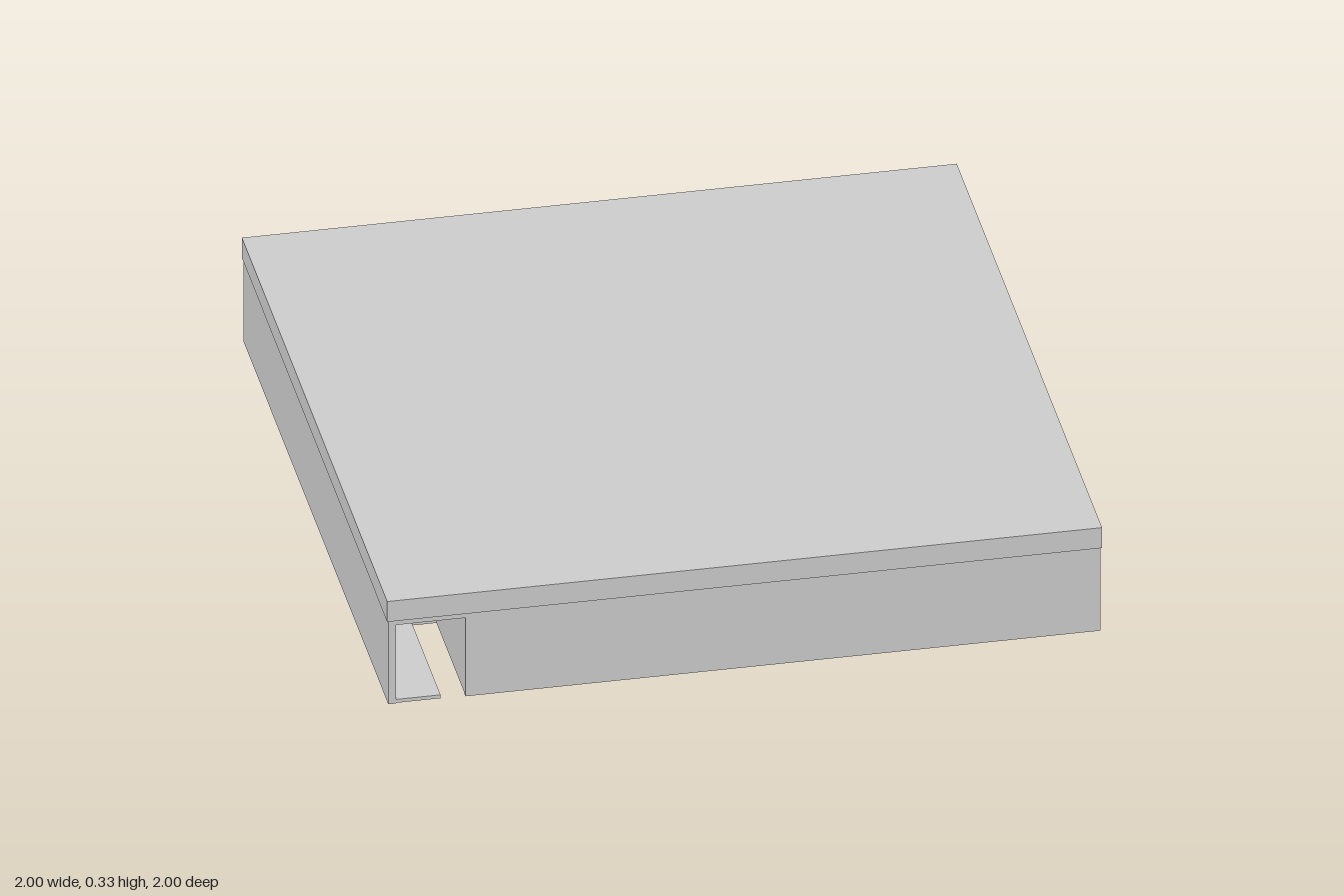
import * as THREE from 'three';

const TOP = 0.33, LID = 0.065, HALF = 0.996, WALL = 0.021;
// Compartment behind the front opening
const X0 = -0.975, X1 = -0.78, CEIL = 0.25, DEPTH = 0.4;
const SLOT = -0.85, FLOOR = 0.013;

export function createModel() {
  const group = new THREE.Group();
  const mat = new THREE.MeshStandardMaterial({ color: 0xcccccc, flatShading: true });

  const add = (name, geometry) => {
    const mesh = new THREE.Mesh(geometry, mat);
    mesh.name = name;
    group.add(mesh);
    return mesh;
  };
  // Box given by its two opposite corners
  const box = (name, x0, y0, z0, x1, y1, z1) => {
    const mesh = add(name, new THREE.BoxGeometry(x1 - x0, y1 - y0, z1 - z0));
    mesh.position.set((x0 + x1) / 2, (y0 + y1) / 2, (z0 + z1) / 2);
    return mesh;
  };
  const polygon = (pts) => new THREE.Shape(pts.map(([x, y]) => new THREE.Vector2(x, y)));
  const extrude = (pts, depth) =>
    new THREE.ExtrudeGeometry(polygon(pts), { depth, bevelEnabled: false });

  const h = TOP - LID, inner = HALF - WALL, back = HALF - DEPTH;

  // Lid, a hair wider than the body
  box('lid', -1, h, -1, 1, TOP, 1);

  // Side and back walls
  box('leftWall', inner, 0, -HALF, HALF, h, HALF);
  box('rightWall', -HALF, 0, -HALF, -inner, h, HALF);
  box('backWall', -inner, 0, -HALF, inner, h, -inner);

  // Front wall with the opening cut up from its lower edge
  add('frontWall', extrude([
    [X1, 0], [inner, 0], [inner, h], [-inner, h], [-inner, CEIL], [X1, CEIL],
  ], WALL)).position.z = inner;

  // Floor plate with a narrow slot running in from the front
  const floor = add('floor', extrude([
    [-inner, -HALF + WALL], [inner, -HALF + WALL], [inner, inner], [X1, inner],
    [X1, back], [SLOT, back], [SLOT, HALF], [-inner, HALF],
  ].map(([x, z]) => [x, -z]).reverse(), FLOOR - 0.002));
  floor.rotation.x = -Math.PI / 2;
  floor.position.y = 0.002;

  // Compartment lining
  box('compartmentCeiling', X0, CEIL, back, X1, h, inner);
  box('compartmentSide', X1, 0.002, back, X1 + WALL, h, inner);

  // Compartment back with a socket opening
  const rear = polygon([[X0, 0.005], [X1, 0.005], [X1, CEIL], [X0, CEIL]]);
  rear.holes.push(new THREE.Path([
    [-0.828, 0.04], [-0.828, 0.2], [-0.785, 0.12], [-0.785, 0.04],
  ].map(([x, y]) => new THREE.Vector2(x, y))));
  add('compartmentBack', new THREE.ExtrudeGeometry(rear, { depth: WALL, bevelEnabled: false }))
    .position.z = back - WALL;
  box('socketBack', SLOT, 0.02, back - 0.12, X1 + WALL, 0.22, back - 0.1);

  return group;
}
